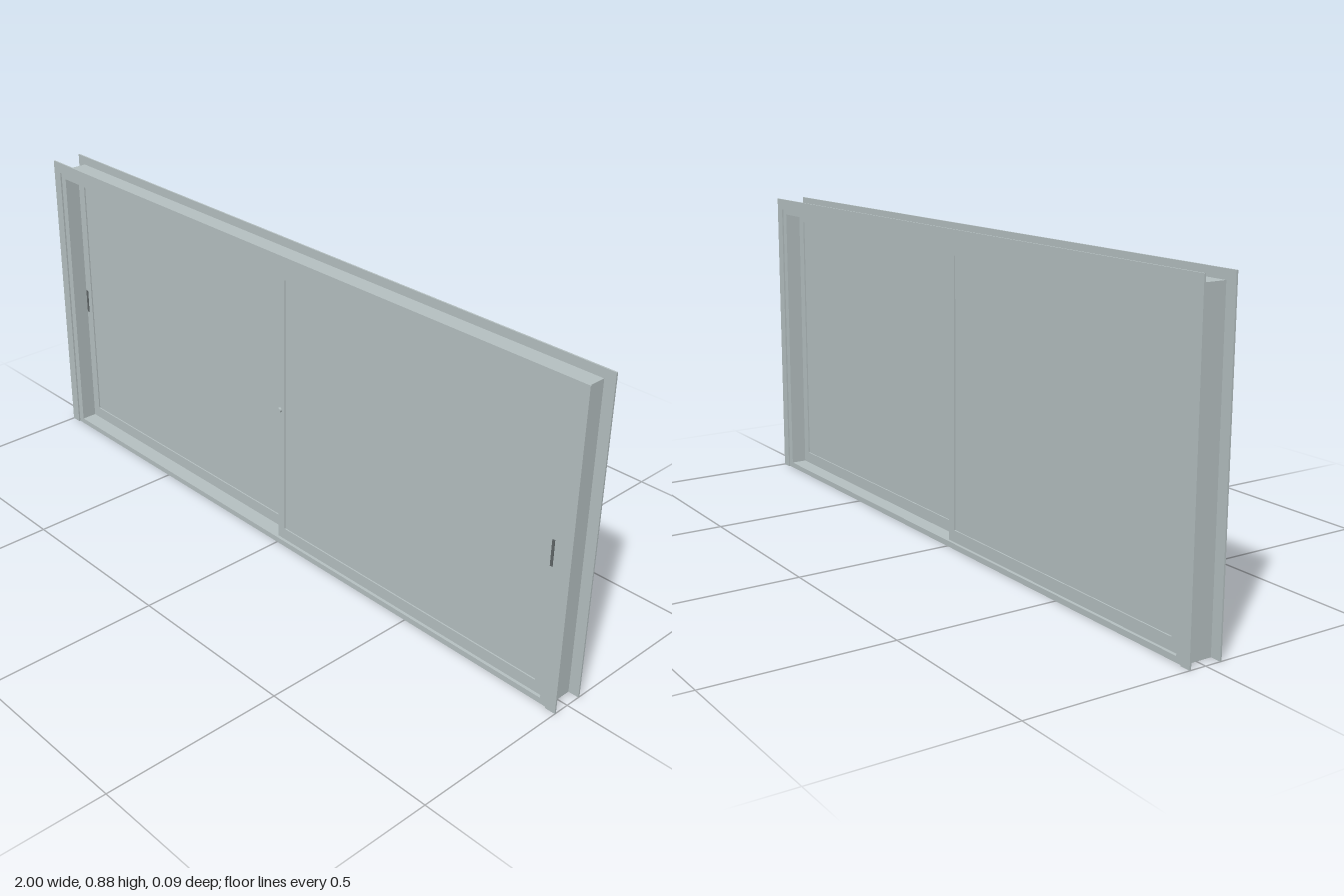
import * as THREE from 'three';

export function createModel() {
  const root = new THREE.Group();
  root.name = 'slidingWindow';

  const aluminium = new THREE.MeshStandardMaterial({ color: 0xb5c0c1 });
  aluminium.name = 'greyAluminium';
  const dark = new THREE.MeshStandardMaterial({ color: 0x606668 });
  dark.name = 'darkGrey';

  // box given by its limits on each axis
  const box = (parent, name, [x0, x1], [y0, y1], [z0, z1], material = aluminium) => {
    const mesh = new THREE.Mesh(new THREE.BoxGeometry(x1 - x0, y1 - y0, z1 - z0), material);
    mesh.position.set((x0 + x1) / 2, (y0 + y1) / 2, (z0 + z1) / 2);
    mesh.name = name;
    parent.add(mesh);
    return mesh;
  };

  // flat polygon extruded along z
  const plate = (parent, name, points, z, depth) => {
    const shape = new THREE.Shape(points.map(([x, y]) => new THREE.Vector2(x, y)));
    const geometry = new THREE.ExtrudeGeometry(shape, { depth, bevelEnabled: false });
    const mesh = new THREE.Mesh(geometry, aluminium);
    mesh.position.z = z;
    mesh.name = name;
    parent.add(mesh);
  };

  // outer frame: sill, head and jambs
  const frame = new THREE.Group();
  frame.name = 'frame';
  root.add(frame);
  const depth = [-0.043, 0.043];
  box(frame, 'sill', [-0.97, 0.97], [0, 0.016], depth);
  box(frame, 'head', [-0.97, 0.97], [0.835, 0.857], depth);
  box(frame, 'leftJamb', [0.95, 0.97], [0.016, 0.835], depth);
  box(frame, 'rightJamb', [-0.97, -0.95], [0.016, 0.835], depth);

  // mitred flanges on the front and back faces
  for (const [side, z] of [['front', 0.043], ['back', -0.0475]]) {
    plate(frame, side + 'TopFlange',
      [[-0.97, 0.85], [0.97, 0.85], [0.97, 0.855], [1, 0.882], [-1, 0.882], [-0.97, 0.855]], z, 0.0045);
    plate(frame, side + 'LeftFlange', [[0.97, 0], [1, 0], [1, 0.882], [0.97, 0.855]], z, 0.0045);
    plate(frame, side + 'RightFlange', [[-1, 0], [-0.97, 0], [-0.97, 0.855], [-1, 0.882]], z, 0.0045);
  }

  // one sliding sash: stiles, rails and a slightly sunken panel
  const makeSash = (name, x0, x1, z0, z1, inner0, inner1) => {
    const sash = new THREE.Group();
    sash.name = name;
    const z = [z0, z1];
    box(sash, 'rightStile', [x0, inner0], [0.016, 0.835], z);
    box(sash, 'leftStile', [inner1, x1], [0.016, 0.835], z);
    box(sash, 'bottomRail', [inner0, inner1], [0.016, 0.05], z);
    box(sash, 'topRail', [inner0, inner1], [0.81, 0.835], z);
    box(sash, 'panel', [inner0, inner1], [0.05, 0.81], [z0 + 0.004, z1 - 0.004]);
    root.add(sash);
    return sash;
  };
  const front = makeSash('frontSash', -0.004, 0.95, 0.003, 0.034, 0.022, 0.923);
  const back = makeSash('backSash', -0.95, 0.004, -0.034, -0.003, -0.923, -0.022);

  // slim finger pulls on the outer stiles
  box(front, 'leftPull', [0.934, 0.941], [0.388, 0.46], [0.034, 0.036], dark);
  box(back, 'rightPull', [-0.947, -0.94], [0.388, 0.46], [-0.003, -0.001], dark);

  // small lock where the sashes meet
  const lock = new THREE.Mesh(new THREE.CylinderGeometry(0.007, 0.007, 0.008, 16), aluminium);
  lock.rotation.x = Math.PI / 2;
  lock.position.set(0.005, 0.425, 0.037);
  lock.name = 'lock';
  front.add(lock);

  return root;
}
